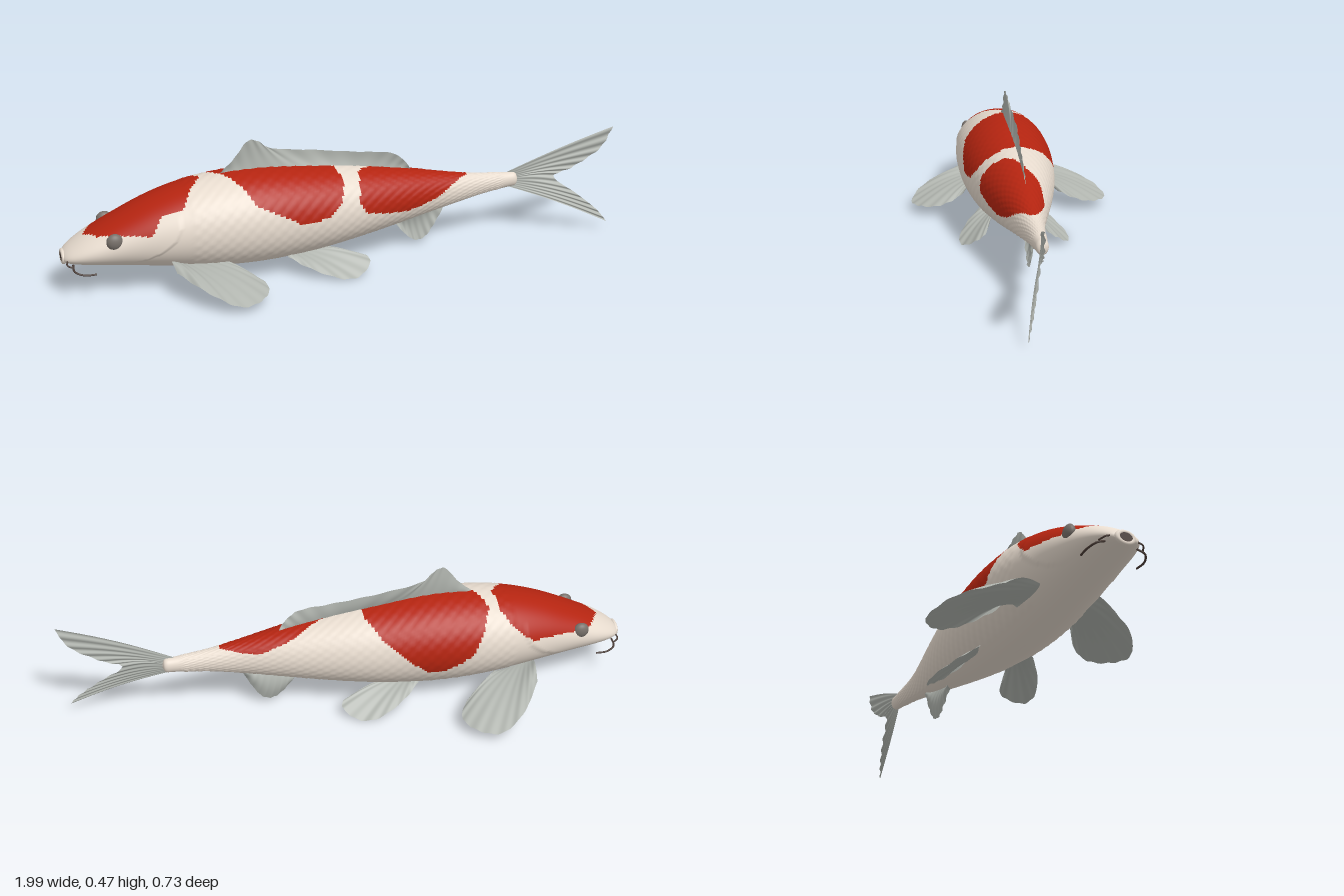
import * as THREE from 'three';

const V = (p) => new THREE.Vector3(...p);
const curve = (pts) => new THREE.CatmullRomCurve3(pts.map(V), false, 'catmullrom', 0.5);
const mat = (name, color) => {
  const m = new THREE.MeshStandardMaterial({ color });
  m.name = name;
  return m;
};

const MID = 0.027; // the body's midline in z

// Body stations from snout to tail root: x, top, bottom, half width
const stations = [
  [-0.995, 0.145, 0.135, 0.004], [-0.99, 0.16, 0.127, 0.04], [-0.96, 0.185, 0.12, 0.07],
  [-0.9, 0.222, 0.11, 0.095], [-0.8, 0.272, 0.095, 0.117], [-0.7, 0.315, 0.08, 0.137],
  [-0.6, 0.345, 0.065, 0.154], [-0.5, 0.362, 0.053, 0.165], [-0.4, 0.37, 0.045, 0.168],
  [-0.3, 0.37, 0.044, 0.167], [-0.2, 0.362, 0.05, 0.16], [-0.1, 0.35, 0.06, 0.149],
  [0, 0.338, 0.075, 0.133], [0.1, 0.322, 0.092, 0.113], [0.2, 0.304, 0.111, 0.091],
  [0.3, 0.283, 0.131, 0.068], [0.4, 0.262, 0.15, 0.047], [0.5, 0.246, 0.168, 0.031],
  [0.6, 0.236, 0.18, 0.023], [0.635, 0.232, 0.184, 0.019], [0.645, 0.212, 0.204, 0.003],
];

// Red patches as outlines in x and degrees around the body (0 = back, positive = +z side)
const patches = [
  [[-0.92, 0], [-0.88, 35], [-0.79, 60], [-0.71, 74], [-0.67, 46], [-0.6, 46], [-0.55, 12], [-0.52, 0],
    [-0.53, -35], [-0.57, -58], [-0.64, -80], [-0.72, -75], [-0.8, -68], [-0.87, -50]],
  [[-0.43, 10], [-0.38, 41], [-0.355, 59], [-0.26, 75], [-0.205, 88], [-0.11, 84], [-0.055, 67], [-0.035, 32],
    [-0.05, 0], [-0.06, -25], [-0.11, -60], [-0.18, -85], [-0.27, -112], [-0.33, -108], [-0.42, -90],
    [-0.46, -60], [-0.49, -28], [-0.46, -5]],
  [[0.03, 18], [0.01, 71], [0.035, 88], [0.125, 99], [0.2, 106], [0.27, 100], [0.33, 86], [0.39, 50],
    [0.45, 10], [0.44, -20], [0.38, -50], [0.32, -62], [0.19, -35], [0.12, -10], [0.055, 5]],
];

function inside([x, y], poly) {
  let hit = false;
  poly.forEach(([ax, ay], i) => {
    const [bx, by] = poly[(i + 1) % poly.length];
    if ((ay > y) !== (by > y) && x < ax + ((y - ay) / (by - ay)) * (bx - ax)) hit = !hit;
  });
  return hit;
}

// Small surface relief: overlapping scales and the raised edge of the gill cover
function relief(x, deg) {
  const d = Math.abs(deg);
  let h = 0;
  const gill = -0.61 - 0.13 * ((d - 60) / 60) ** 2;
  if (d > 50 && d < 130 && x < gill) h += 0.006 * Math.exp((x - gill) / 0.05) * Math.sin(((d - 50) / 80) * Math.PI);
  if (x > -0.58 && x < 0.58 && d < 150) {
    const u = x / 0.045, v = deg / 15;
    h += 0.002 * Math.abs(Math.cos(Math.PI * (u + v)) * Math.cos(Math.PI * (u - v)));
  }
  return h;
}

function bodyGeometry() {
  const rows = (stations.length - 1) * 11, cols = 108;
  const heights = curve(stations.map(([x, t, b]) => [x, (t + b) / 2, (t - b) / 2]));
  const widths = curve(stations.map(([x, , , w]) => [x, x > 0.4 ? MID - (x - 0.4) * 0.03 : MID, w]));
  const pos = [], cream = [], red = [], xs = [];
  for (let i = 0; i <= rows; i++) {
    const h = heights.getPoint(i / rows), w = widths.getPoint(i / rows);
    xs.push(h.x);
    for (let j = 0; j < cols; j++) {
      const deg = (j / cols) * 360 - 180, a = THREE.MathUtils.degToRad(deg);
      const k = relief(h.x, deg);
      pos.push(h.x, h.y + (h.z + k) * Math.cos(a), w.y + (w.z + k) * Math.sin(a));
    }
  }
  for (let i = 0; i < rows; i++) {
    for (let j = 0; j < cols; j++) {
      const at = [(xs[i] + xs[i + 1]) / 2, ((j + 0.5) / cols) * 360 - 180];
      const a = i * cols + j, b = i * cols + ((j + 1) % cols);
      const list = patches.some((p) => inside(at, p)) ? red : cream;
      list.push(a, b, a + cols, b, b + cols, a + cols);
    }
  }
  const g = new THREE.BufferGeometry();
  g.setAttribute('position', new THREE.Float32BufferAttribute(pos, 3));
  g.setIndex([...cream, ...red]);
  g.addGroup(0, cream.length, 0);
  g.addGroup(cream.length, red.length, 1);
  g.computeVertexNormals();
  return g;
}

// Ribbed membrane stretched between a root curve and an outer edge curve
function finGeometry(root, edge, bow, ripple, rays) {
  const r = curve(root), e = curve(edge), nu = 90, nv = 14, pos = [], index = [];
  const dir = V(ripple);
  for (let i = 0; i <= nu; i++) {
    const u = i / nu, a = r.getPoint(u), b = e.getPoint(u);
    for (let j = 0; j <= nv; j++) {
      const v = j / nv;
      const p = a.clone().lerp(b, v).addScaledVector(V(bow), Math.sin(Math.PI * v));
      p.addScaledVector(dir, Math.sin(u * rays * Math.PI * 2) * v);
      pos.push(p.x, p.y, p.z);
      if (i < nu && j < nv) {
        const k = i * (nv + 1) + j;
        index.push(k, k + 1, k + nv + 1, k + 1, k + nv + 2, k + nv + 1);
      }
    }
  }
  const g = new THREE.BufferGeometry();
  g.setAttribute('position', new THREE.Float32BufferAttribute(pos, 3));
  g.setIndex(index);
  g.computeVertexNormals();
  return g;
}

export function createModel() {
  const model = new THREE.Group();
  model.name = 'koi';
  const cream = mat('cream skin', 0xe8dccf), red = mat('red skin', 0xb42410);
  const finMat = mat('grey fin', 0xb0b4ae), eyeMat = mat('eye grey', 0x77706a);
  const dark = mat('dark brown', 0x4a3c36);
  finMat.side = THREE.DoubleSide;

  const add = (name, geometry, material) => {
    const m = new THREE.Mesh(geometry, material);
    m.name = name;
    model.add(m);
    return m;
  };
  add('body', bodyGeometry(), [cream, red]);

  // Fins on the midline
  add('dorsalFin', finGeometry(
    [[-0.45, 0.355, MID], [-0.3, 0.36, MID], [-0.1, 0.34, MID], [0.1, 0.312, 0.024], [0.23, 0.288, 0.024]],
    [[-0.45, 0.368, MID], [-0.4, 0.412, MID], [-0.35, 0.472, MID], [-0.31, 0.466, 0.022], [-0.26, 0.432, 0.014],
      [-0.1, 0.405, 0.012], [0.05, 0.383, 0.02], [0.16, 0.368, 0.026], [0.21, 0.335, 0.026], [0.24, 0.293, 0.024]],
    [0, 0, -0.004], [0, 0, 0.002], 14), finMat);
  add('tailFin', finGeometry(
    [[0.6, 0.235, 0.021], [0.625, 0.208, 0.02], [0.61, 0.181, 0.021]],
    [[0.995, 0.38, 0.062], [0.95, 0.3, 0.058], [0.85, 0.237, 0.05], [0.78, 0.205, 0.045],
      [0.86, 0.14, 0.068], [0.93, 0.08, 0.09], [0.97, 0.03, 0.108]],
    [0, 0.008, 0.004], [0, 0, 0.003], 12), finMat);
  add('analFin', finGeometry(
    [[0.17, 0.12, MID], [0.25, 0.135, MID], [0.34, 0.15, MID]],
    [[0.18, 0.1, 0.024], [0.22, 0.05, 0.02], [0.26, 0.019, 0.02], [0.3, 0.027, 0.018], [0.335, 0.075, 0.018], [0.37, 0.142, 0.022]],
    [0, 0, -0.014], [0, 0, 0.002], 8), finMat);

  // Parts found on both sides
  for (const [side, s] of [['front', 1], ['rear', -1]]) {
    const flip = (pts, mid) => pts.map(([x, y, z]) => [x, y, mid + s * z]);
    add(side + 'PectoralFin', finGeometry(
      flip([[-0.66, 0.11, 0.07], [-0.6, 0.1, 0.075], [-0.52, 0.09, 0.085]], 0),
      flip([[-0.64, 0.1, 0.19], [-0.56, 0.07, 0.31], [-0.47, 0.034, 0.365], [-0.39, 0.035, 0.34],
        [-0.35, 0.045, 0.27], [-0.39, 0.065, 0.195], [-0.48, 0.085, 0.14]], 0),
      [0, 0.022, 0], [0, 0.002, 0], 10), finMat);
    add(side + 'PelvicFin', finGeometry(
      flip([[-0.25, 0.08, 0.06], [-0.19, 0.08, 0.06], [-0.13, 0.08, 0.06]], MID),
      flip([[-0.24, 0.072, 0.1], [-0.17, 0.04, 0.155], [-0.08, 0.01, 0.193], [-0.01, 0.005, 0.185],
        [0.04, 0.035, 0.145], [0.02, 0.052, 0.11], [-0.07, 0.066, 0.085]], MID),
      [0, 0.01, 0], [0, 0.002, 0], 8), finMat);

    const eye = add(side + 'Eye', new THREE.SphereGeometry(0.028, 24, 16), eyeMat);
    eye.position.set(-0.83, 0.213, MID + s * 0.098);
    eye.scale.z = 0.65;

    // Long and short barbels at the corner of the mouth
    add(side + 'LongBarbel', new THREE.TubeGeometry(curve(flip(
      [[-0.965, 0.13, 0.055], [-0.965, 0.118, 0.085], [-0.935, 0.108, 0.1], [-0.895, 0.105, 0.098]], MID)), 16, 0.0035, 6), dark);
    add(side + 'ShortBarbel', new THREE.TubeGeometry(curve(flip(
      [[-0.98, 0.145, 0.045], [-0.985, 0.135, 0.065], [-0.965, 0.128, 0.078]], MID)), 10, 0.003, 6), dark);
  }

  // Mouth: rounded lips around a dark opening
  const lips = add('lips', new THREE.TorusGeometry(0.018, 0.007, 10, 28), cream);
  const mouth = add('mouth', new THREE.CircleGeometry(0.015, 24), dark);
  lips.position.set(-0.991, 0.142, MID);
  mouth.position.set(-0.997, 0.142, MID);
  for (const m of [lips, mouth]) {
    m.rotation.y = -Math.PI / 2;
    m.scale.x = 1.5;
  }
  return model;
}
